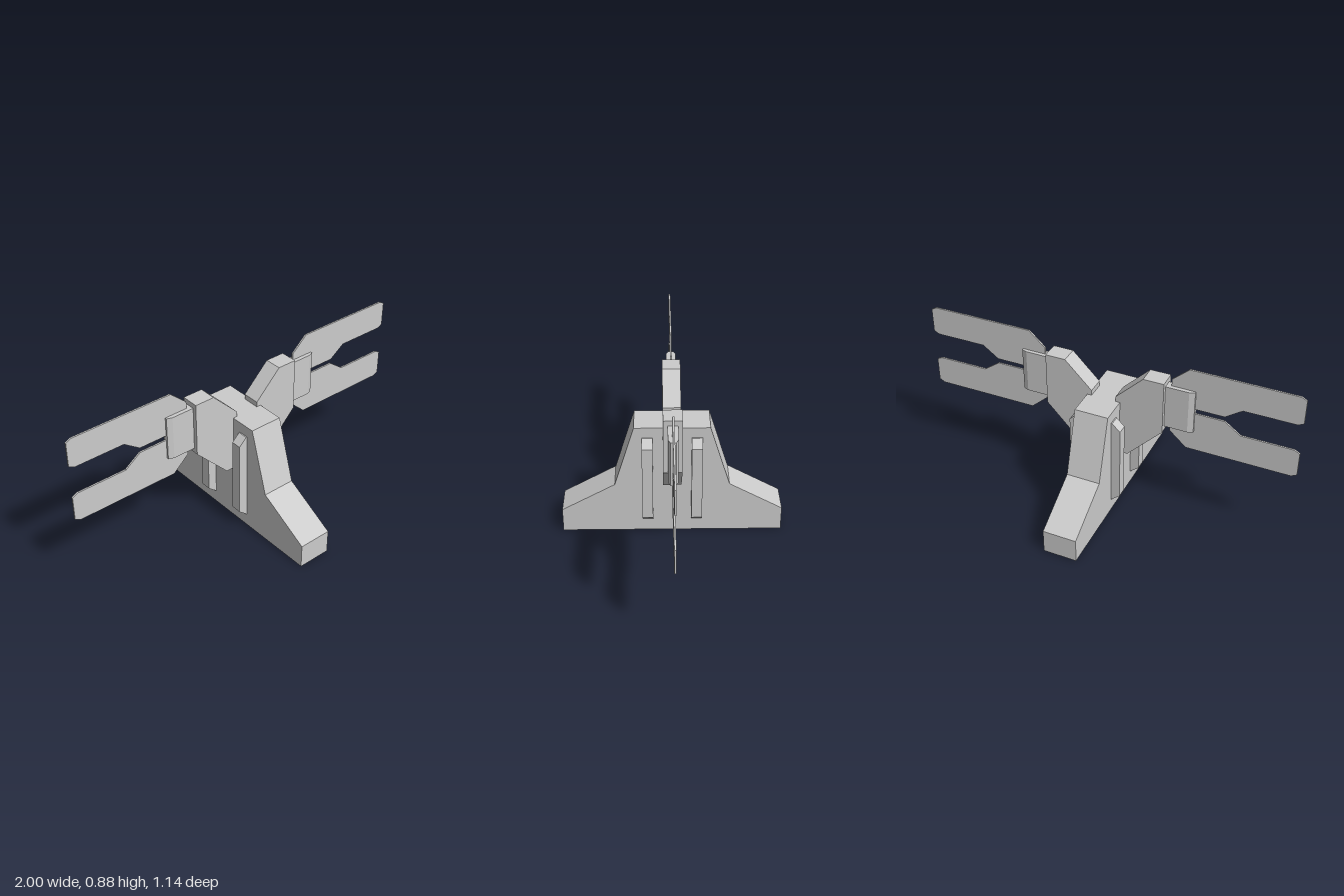
import * as THREE from 'three';

const material = new THREE.MeshStandardMaterial({ color: 0xcccccc, flatShading: true });
const shellMaterial = new THREE.MeshStandardMaterial({ color: 0xcccccc, flatShading: true, side: THREE.DoubleSide });

// Extrude an outline along z, centred on z = 0
function slab(points, depth) {
  const shape = new THREE.Shape(points.map(([x, y]) => new THREE.Vector2(x, y)));
  return new THREE.ExtrudeGeometry(shape, { depth, bevelEnabled: false }).translate(0, 0, -depth / 2);
}

// Remove the triangles lying on the ground, leaving the hull open below
function openBottom(geometry) {
  const p = geometry.getAttribute('position');
  const kept = [];
  for (let i = 0; i < p.count; i += 3) {
    if ([0, 1, 2].every(k => Math.abs(p.getY(i + k)) < 1e-5)) continue;
    for (let k = 0; k < 3; k++) kept.push(p.getX(i + k), p.getY(i + k), p.getZ(i + k));
  }
  const open = new THREE.BufferGeometry();
  open.setAttribute('position', new THREE.Float32BufferAttribute(kept, 3));
  open.computeVertexNormals();
  return open;
}

export function createModel() {
  const model = new THREE.Group();
  const add = (parent, name, geometry, mat = material) => {
    const mesh = new THREE.Mesh(geometry, mat);
    mesh.name = name;
    parent.add(mesh);
    return mesh;
  };

  // Stepped central hull, hollow and open underneath
  const half = [[0.572, 0], [0.572, 0.13], [0.295, 0.285], [0.192, 0.62]];
  const profile = [...half, ...half.map(([z, y]) => [-z, y]).reverse()];
  add(model, 'hull', openBottom(slab(profile, 0.178).rotateY(-Math.PI / 2)), shellMaterial);

  for (const side of [1, -1]) {
    const group = new THREE.Group();
    group.name = side > 0 ? 'leftSide' : 'rightSide';
    model.add(group);
    const flip = points => points.map(([x, y]) => [side * x, y]);

    // Vertical ribs with chamfered ends
    for (const z of [0.126, -0.126]) {
      const rib = [[0.08, 0.07], [0.09, 0.07], [0.138, 0.11], [0.138, 0.523], [0.095, 0.563], [0.08, 0.563]];
      add(group, 'rib', slab(flip(rib), 0.055)).position.z = z;
    }

    // Angled shoulder arm
    const arm = [[0.065, 0.31], [0.132, 0.31], [0.318, 0.505], [0.318, 0.793], [0.21, 0.793], [0.065, 0.648]];
    add(group, 'arm', slab(flip(arm), 0.094));

    // Wing hinge block, tapered at its outer end
    const hinge = [[0.3, -0.025], [0.44, -0.025], [0.468, -0.014], [0.468, 0.014], [0.44, 0.025], [0.3, 0.025]];
    add(group, 'wingHinge', slab(flip(hinge), 0.236).rotateX(Math.PI / 2)).position.y = 0.648;

    // Pair of thin wings, mirrored about the hinge height
    const wing = [[0.342, 0.013], [0.342, 0.153], [0.43, 0.232], [0.972, 0.232], [1, 0.217],
      [1, 0.089], [0.972, 0.074], [0.705, 0.074], [0.62, 0.013]];
    for (const up of [1, -1]) {
      const outline = flip(wing).map(([x, y]) => [x, 0.65 + up * y]);
      add(group, up > 0 ? 'upperWing' : 'lowerWing', slab(outline, 0.009));
    }
  }
  return model;
}
